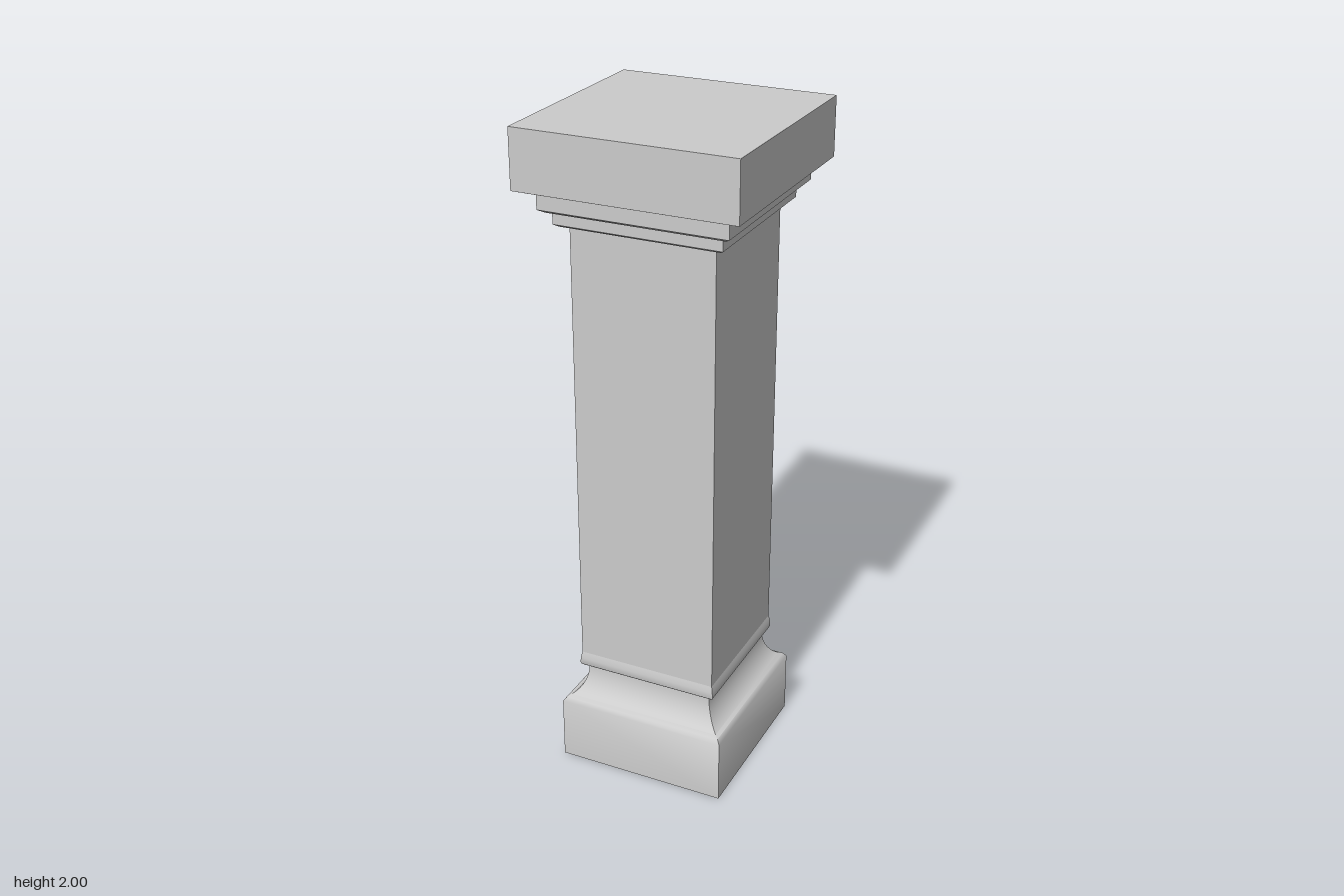
import * as THREE from 'three';
import { toCreasedNormals } from 'three/addons/utils/BufferGeometryUtils.js';

const material = new THREE.MeshStandardMaterial({ color: 0xcccccc });

// Sweeps a [half-width, height] profile round a square plan.
function squareSweep(name, profile) {
  const points = profile.map(([w, y]) => new THREE.Vector2(w * Math.SQRT2, y));
  const lathe = new THREE.LatheGeometry(points, 4, Math.PI / 4);
  const mesh = new THREE.Mesh(toCreasedNormals(lathe, 0.7), material);
  mesh.name = name;
  return mesh;
}

// Elliptical arc in the profile, from angle a0 to a1.
function arc(cx, cy, rx, ry, a0, a1, steps = 8) {
  return Array.from({ length: steps + 1 }, (_, i) => {
    const a = a0 + (a1 - a0) * i / steps;
    return [cx + rx * Math.cos(a), cy + ry * Math.sin(a)];
  });
}

export function createModel() {
  const group = new THREE.Group();
  group.name = 'squareColumn';
  const half = 0.215;

  group.add(
    // Plinth with a concave moulding above it
    squareSweep('base', [
      [0, 0], [0.262, 0], [0.262, 0.195],
      ...arc(0.27, 0.305, 0.07, 0.1, Math.PI * 1.42, Math.PI),
      [0.2, 0.312],
    ]),
    // Rounded bead at the foot of the shaft
    squareSweep('bead', [
      [0.2, 0.312],
      ...arc(0.212, 0.325, 0.008, 0.011, -Math.PI / 2, 0, 4),
      [0.219, 0.34], [0.217, 0.352], [half, 0.36],
    ]),
    squareSweep('shaft', [[half, 0.36], [half, 1.712]]),
    // Two stepped mouldings under the top slab
    squareSweep('capitalMouldings', [
      [half, 1.712], [0.236, 1.716], [0.248, 1.724], [0.248, 1.757],
      [0.262, 1.759], [0.278, 1.769], [0.278, 1.816],
    ]),
    squareSweep('topSlab', [
      [0.278, 1.816], [0.3, 1.818], [0.326, 1.828], [0.326, 2], [0, 2],
    ]),
  );
  return group;
}
